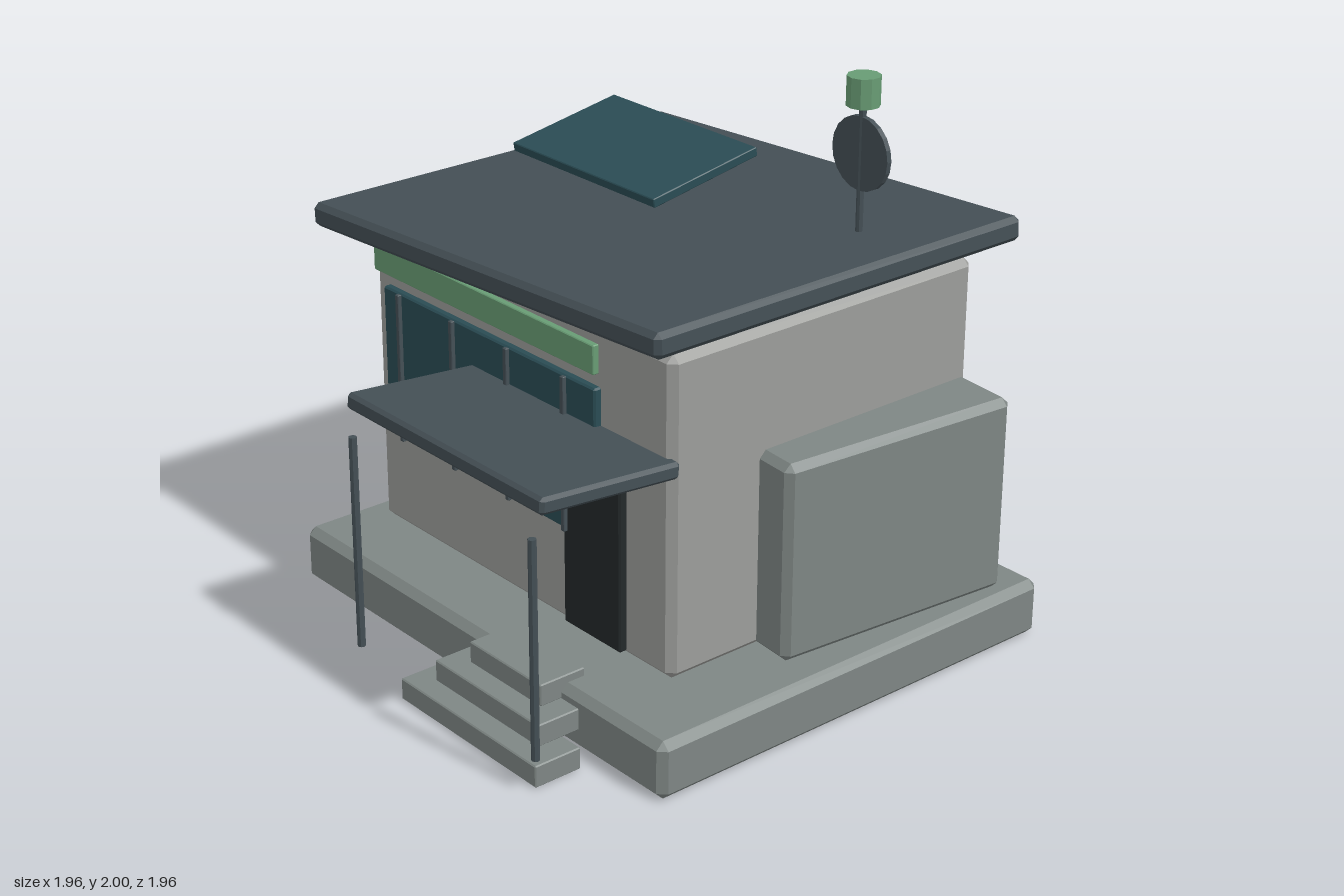
import * as THREE from 'three';
import { ConvexGeometry } from 'three/addons/geometries/ConvexGeometry.js';

const mat = (color) => new THREE.MeshStandardMaterial({ color, flatShading: true });
const WALL = mat(0x9c9d9a);
const STONE = mat(0x7e8684);
const SLATE = mat(0x444f55);
const GLASS = mat(0x2a4c54);
const GREEN = mat(0x689c74);
const DARK = mat(0x23292a);

// Box with every edge chamfered by c, centred on its origin
function chamferBox(w, h, d, c) {
  const pts = [];
  for (const sx of [-1, 1]) for (const sy of [-1, 1]) for (const sz of [-1, 1]) {
    const x = w / 2, y = h / 2, z = d / 2;
    pts.push(
      new THREE.Vector3(sx * x, sy * (y - c), sz * (z - c)),
      new THREE.Vector3(sx * (x - c), sy * y, sz * (z - c)),
      new THREE.Vector3(sx * (x - c), sy * (y - c), sz * z)
    );
  }
  return new ConvexGeometry(pts);
}

export function createModel() {
  const model = new THREE.Group();
  model.name = 'smallShop';

  function add(name, geometry, material, x, y, z) {
    const mesh = new THREE.Mesh(geometry, material);
    mesh.name = name;
    mesh.position.set(x, y, z);
    model.add(mesh);
    return mesh;
  }

  // Block given by its extents on each axis
  function block(name, material, [x0, x1], [y0, y1], [z0, z1], c) {
    return add(name, chamferBox(x1 - x0, y1 - y0, z1 - z0, c), material,
      (x0 + x1) / 2, (y0 + y1) / 2, (z0 + z1) / 2);
  }

  // Foundation and main walls
  block('foundation', STONE, [-0.96, 0.98], [0.005, 0.21], [-0.98, 0.71], 0.027);
  block('walls', WALL, [-0.855, 0.705], [0.21, 1.33], [-0.87, 0.44], 0.027);

  // Side annex, turned slightly about the vertical
  const annex = add('sideAnnex', chamferBox(0.32, 0.7, 0.93, 0.025), STONE, 0.735, 0.56, -0.39);
  annex.rotation.y = -0.087;

  // Sloping roof
  const roof = add('roof', chamferBox(1.81, 0.085, 1.56, 0.018), SLATE, -0.075, 1.4, -0.175);
  roof.rotation.z = 0.052;

  // Tilted panel on the roof
  const panel = add('roofPanel', chamferBox(0.755, 0.033, 0.465, 0.003), GLASS, -0.413, 1.525, -0.345);
  panel.rotation.x = 0.175;

  // Antenna mast with dish and cap
  add('antennaMast', new THREE.CylinderGeometry(0.012, 0.012, 0.47, 8), SLATE, 0.56, 1.675, -0.475);
  const dish = add('antennaDish', new THREE.CylinderGeometry(0.125, 0.125, 0.018, 20), SLATE, 0.56, 1.74, -0.475);
  dish.rotation.x = Math.PI / 2;
  add('antennaCap', new THREE.CylinderGeometry(0.056, 0.056, 0.1, 10), GREEN, 0.56, 1.95, -0.475);

  // Front wall: sign band, window with mullions, door
  block('signBand', GREEN, [-0.79, 0.385], [1.18, 1.28], [0.463, 0.488], 0.003);
  block('window', GLASS, [-0.77, 0.365], [0.575, 1.12], [0.435, 0.467], 0.006);
  for (const x of [-0.67, -0.37, -0.075, 0.22]) {
    block('mullion', SLATE, [x - 0.009, x + 0.009], [0.575, 1.12], [0.469, 0.485], 0.002);
  }
  block('door', DARK, [0.205, 0.49], [0.235, 0.87], [0.435, 0.47], 0.006);

  // Porch awning with two posts
  const awning = add('awning', chamferBox(1.01, 0.058, 0.545, 0.012), SLATE, 0.22, 0.98, 0.69);
  awning.rotation.x = -0.083;
  for (const x of [-0.245, 0.685]) {
    add('awningPost', new THREE.CylinderGeometry(0.014, 0.014, 0.76, 8), SLATE, x, 0.51, 0.968);
  }

  // Entrance steps, each narrower and further back
  for (let i = 0; i < 3; i++) {
    const half = 0.355 - i * 0.085, y = 0.007 + i * 0.077, z = 0.95 - i * 0.078;
    block('step', STONE, [0.305 - half, 0.305 + half], [y, y + 0.078], [z - 0.18, z], 0.004);
  }

  return model;
}
